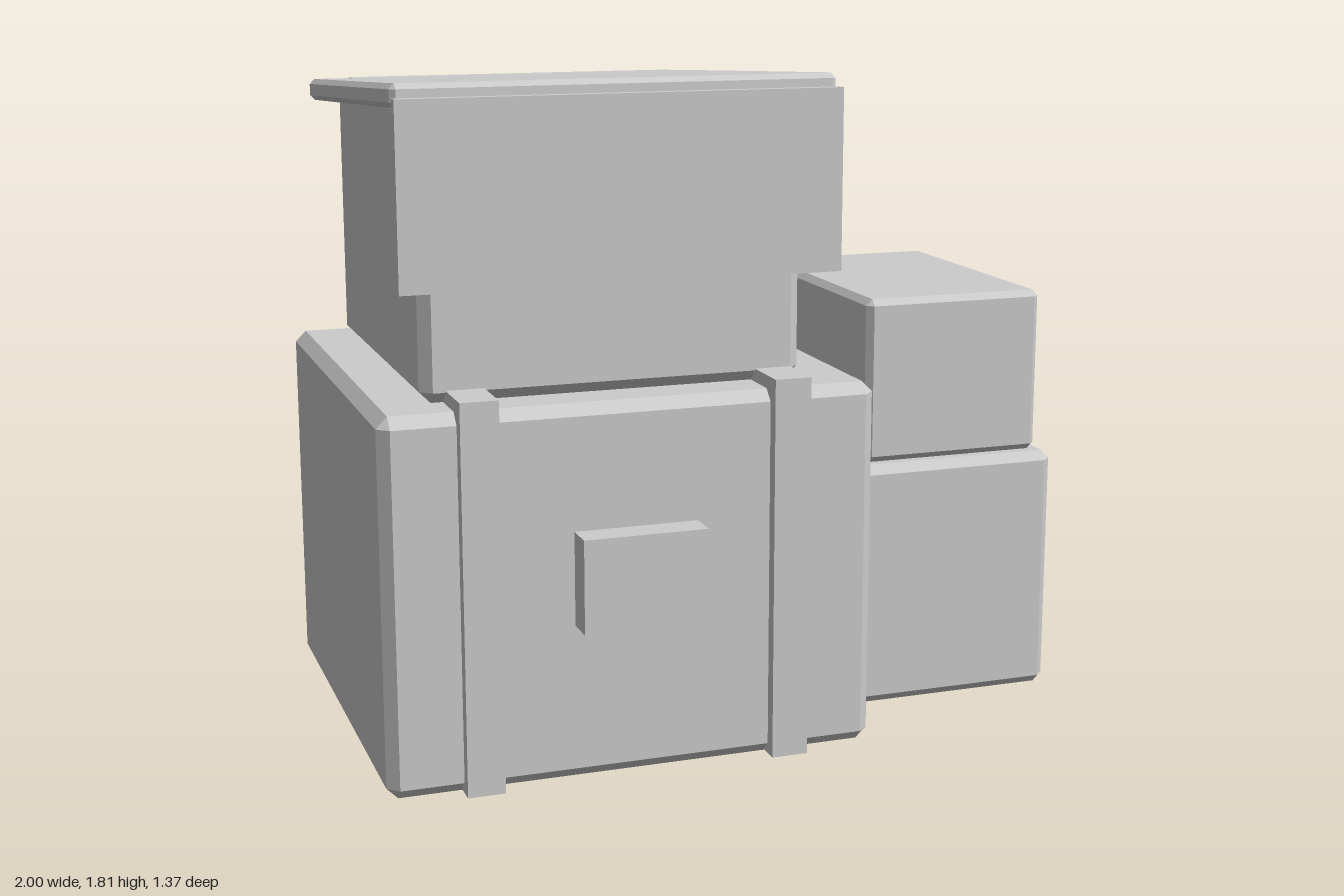
import * as THREE from 'three';
import { ConvexGeometry } from 'three/addons/geometries/ConvexGeometry.js';

const grey = new THREE.MeshStandardMaterial({ color: 0xcccccc, flatShading: true });
grey.name = 'plain grey';

// Box with every edge cut by a flat chamfer, centred on the origin
function chamferedBox(w, h, d, c) {
  const points = [];
  for (const sx of [-1, 1]) for (const sy of [-1, 1]) for (const sz of [-1, 1]) {
    const x = sx * w / 2, y = sy * h / 2, z = sz * d / 2;
    points.push(
      new THREE.Vector3(x, y - sy * c, z - sz * c),
      new THREE.Vector3(x - sx * c, y, z - sz * c),
      new THREE.Vector3(x - sx * c, y - sy * c, z)
    );
  }
  return new ConvexGeometry(points);
}

export function createModel() {
  const model = new THREE.Group();
  model.name = 'stackedLuggage';

  // Adds a box from its [min, max] ranges, chamfered when c > 0
  function addBox(name, [x0, x1], [y0, y1], [z0, z1], c = 0) {
    const size = [x1 - x0, y1 - y0, z1 - z0];
    const geometry = c > 0 ? chamferedBox(...size, c) : new THREE.BoxGeometry(...size);
    const mesh = new THREE.Mesh(geometry, grey);
    mesh.name = name;
    mesh.position.set((x0 + x1) / 2, (y0 + y1) / 2, (z0 + z1) / 2);
    model.add(mesh);
    return mesh;
  }

  // Large trunk with two straps and a clasp
  addBox('trunk', [-1, 0.33], [0, 1], [-0.65, 0.6], 0.03);
  for (const x of [-0.753, 0.08]) {
    addBox('strap', [x - 0.05, x + 0.05], [0.002, 1.035], [-0.685, 0.635]);
  }
  addBox('clasp', [-0.503, -0.17], [0.42, 0.67], [0.58, 0.685]);

  // Upper crate with a tilted lid and a hanging front flap
  addBox('upperCrate', [-0.865, 0.16], [1, 1.75], [-0.545, 0.485], 0.03);
  const lid = addBox('lid', [-0.935, 0.23], [1.715, 1.775], [-0.615, 0.545], 0.014);
  lid.rotation.x = -0.06;
  addBox('frontFlap', [-0.935, 0.23], [1.3, 1.775], [0.555, 0.585]);

  // Two smaller cases stacked alongside
  addBox('lowerCase', [0.4, 1], [0, 0.7], [-0.615, 0.35], 0.025);
  addBox('upperCase', [0.432, 0.963], [0.7, 1.165], [-0.483, 0.313], 0.018);

  return model;
}
